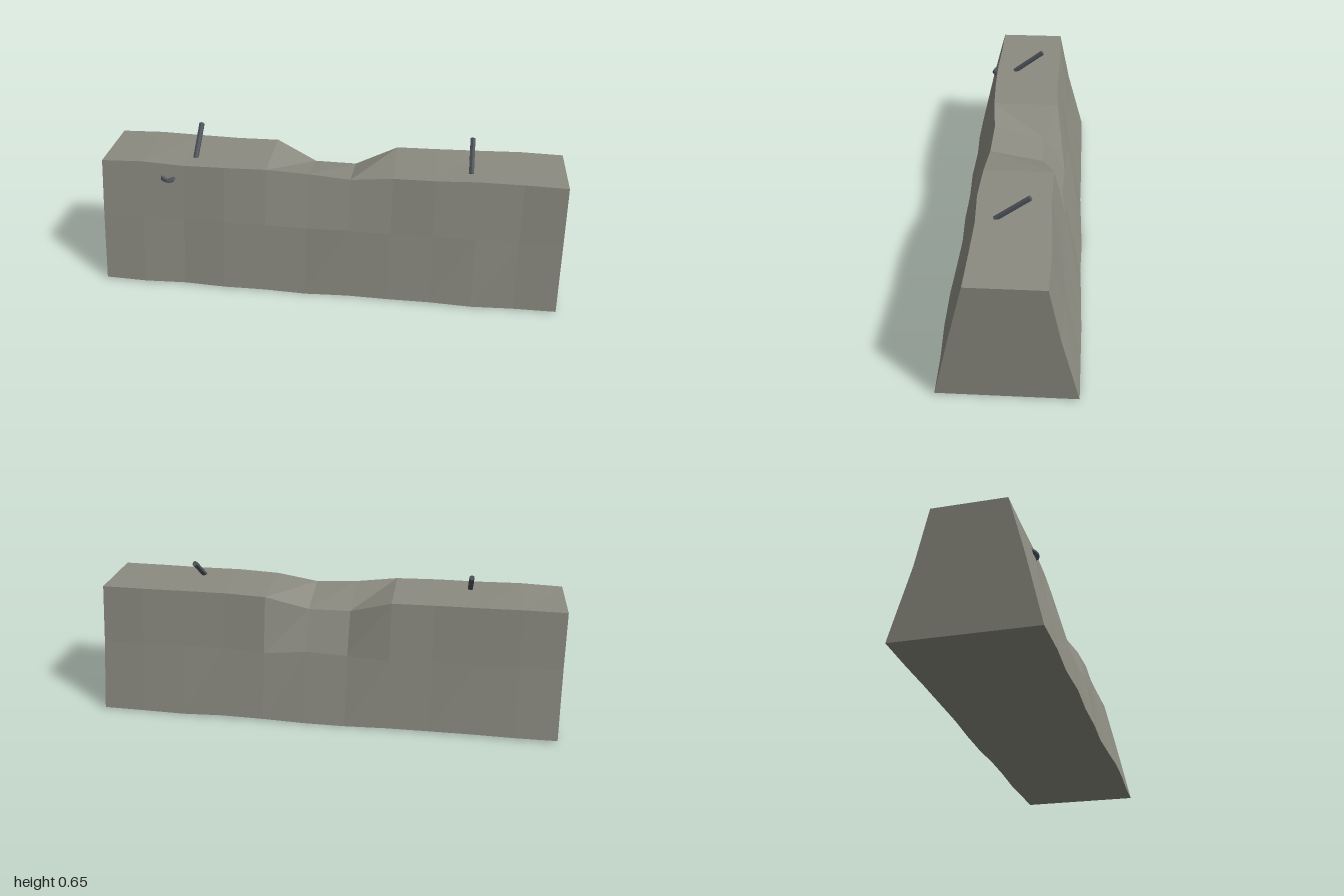
import * as THREE from 'three';

const concrete = new THREE.MeshStandardMaterial({ color: 0x8c8b81 });
concrete.name = 'concrete';
const steel = new THREE.MeshStandardMaterial({ color: 0x50555d });
steel.name = 'steel';

// Worn edge profiles, one value per station from x = -1 to x = 1
const STATIONS = 11;
const frontTopY = [0.54, 0.546, 0.54, 0.541, 0.54, 0.522, 0.51, 0.535, 0.54, 0.543, 0.544, 0.543];
const frontTopZ = [0.145, 0.145, 0.152, 0.15, 0.142, 0.125, 0.13, 0.142, 0.15, 0.141, 0.145, 0.151];
const backTopY = [0.54, 0.543, 0.54, 0.538, 0.538, 0.47, 0.468, 0.535, 0.54, 0.542, 0.544, 0.543];
const backTopZ = [-0.15, -0.154, -0.151, -0.147, -0.152, -0.098, -0.098, -0.151, -0.146, -0.15, -0.156, -0.15];
const frontBaseZ = [0.274, 0.278, 0.271, 0.279, 0.273, 0.277, 0.27, 0.276, 0.282, 0.283, 0.275, 0.274];
const backBaseZ = [-0.283, -0.282, -0.28, -0.279, -0.276, -0.28, -0.283, -0.277, -0.281, -0.282, -0.279, -0.276];
const baseY = [0.008, 0.006, 0.007, 0.006, 0.003, 0, 0.002, 0.004, 0.009, 0.003, 0.004, 0.004];

function barrierBody() {
  const g = new THREE.BoxGeometry(2, 2, 2, STATIONS, 2, 1);
  const p = g.attributes.position;
  for (let v = 0; v < p.count; v++) {
    const i = Math.round((p.getX(v) + 1) / 2 * STATIONS);
    const front = p.getZ(v) > 0;
    const level = Math.round(p.getY(v)); // -1 base, 0 middle, 1 top
    const wobble = 0.005 * Math.sin(i * 2.3 + (front ? 0 : 1));
    let y, z;
    if (level > 0) {
      y = (front ? frontTopY : backTopY)[i];
      z = (front ? frontTopZ : backTopZ)[i];
    } else if (level < 0) {
      y = baseY[i];
      z = (front ? frontBaseZ : backBaseZ)[i];
    } else {
      const chipped = !front && (i === 5 || i === 6);
      y = 0.3 + wobble;
      z = front ? 0.207 + wobble : (chipped ? -0.192 : -0.204) + wobble;
    }
    p.setY(v, y);
    p.setZ(v, z);
  }
  const flat = g.toNonIndexed();
  flat.computeVertexNormals();
  return flat;
}

function add(group, name, geometry, material) {
  // Facets stay crisp on every part
  const flat = geometry.index ? geometry.toNonIndexed() : geometry;
  flat.computeVertexNormals();
  const mesh = new THREE.Mesh(flat, material);
  mesh.name = name;
  group.add(mesh);
  return mesh;
}

export function createModel() {
  const group = new THREE.Group();
  group.name = 'concreteBarrier';

  add(group, 'barrierBody', barrierBody(), concrete);

  // Slanted reinforcing bars sticking out of the top
  for (const side of [-1, 1]) {
    const bar = add(group, side > 0 ? 'leftBar' : 'rightBar',
      new THREE.CylinderGeometry(0.012, 0.012, 0.17, 6), steel);
    bar.position.set(side * 0.6, 0.589, 0);
    bar.rotation.x = -0.92;
  }

  // Small steel loop set in the front face
  const loop = add(group, 'steelLoop', new THREE.TorusGeometry(0.028, 0.011, 5, 8), steel);
  loop.position.set(-0.702, 0.485, 0.152);
  loop.rotation.x = -1.2;

  return group;
}
